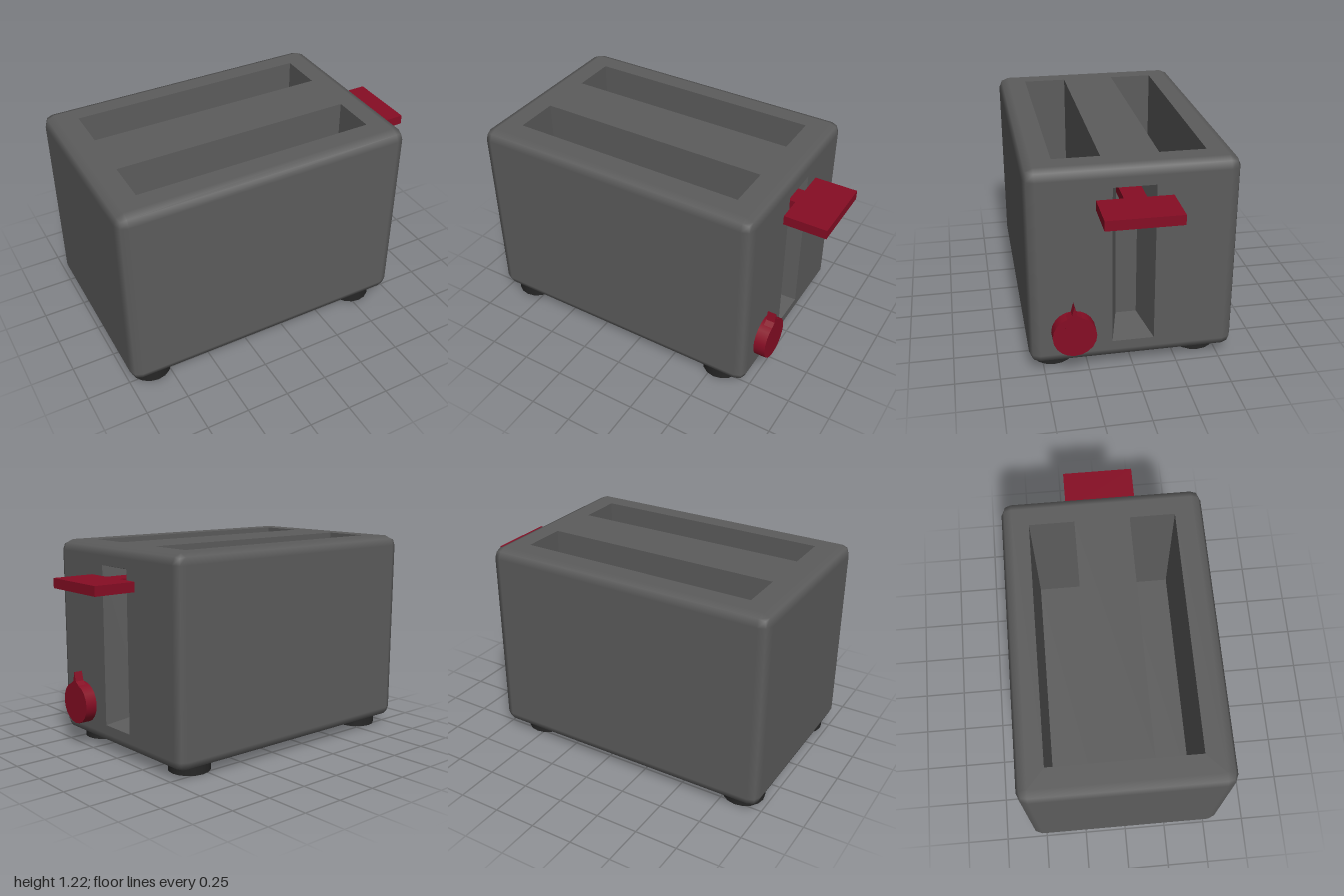
import * as THREE from 'three';
import { RoundedBoxGeometry } from 'three/addons/geometries/RoundedBoxGeometry.js';

const W = 1.74, H = 1.16, D = 1.16, R = 0.06; // housing size and edge radius
const CX = -0.13, CY = 0.635;                 // housing centre
const RIGHT = CX + W / 2, TOP = CY + H / 2;

const bodyMat = new THREE.MeshStandardMaterial({ color: 0x5c5c5c });
const redMat = new THREE.MeshStandardMaterial({ color: 0x860d24 });
const footMat = new THREE.MeshStandardMaterial({ color: 0x262626 });

function addMesh(parent, name, geometry, material, x = 0, y = 0, z = 0) {
  const mesh = new THREE.Mesh(geometry, material);
  mesh.name = name;
  mesh.position.set(x, y, z);
  parent.add(mesh);
  return mesh;
}

// Corners of a rectangle, anticlockwise
const rect = (x0, y0, x1, y1) => [[x0, y0], [x1, y0], [x1, y1], [x0, y1]];
const points = (corners) => corners.map(([x, y]) => new THREE.Vector2(x, y));

// Flat panel in XY with rectangular holes
function panel(outline, holes) {
  const shape = new THREE.Shape(points(outline));
  holes.forEach((h) => shape.holes.push(new THREE.Path(points(h).reverse())));
  return new THREE.ShapeGeometry(shape);
}

// Recess opening toward +z: four inward walls and a floor
function pocket(outer, inner, depth) {
  const pos = [];
  const o = outer.map(([x, y]) => [x, y, 0]);
  const f = inner.map(([x, y]) => [x, y, -depth]);
  const quad = (a, b, c, d) => pos.push(...a, ...b, ...c, ...a, ...c, ...d);
  for (let i = 0; i < 4; i++) {
    const j = (i + 1) % 4;
    quad(o[i], o[j], f[j], f[i]);
  }
  quad(...f);
  const g = new THREE.BufferGeometry();
  g.setAttribute('position', new THREE.Float32BufferAttribute(pos, 3));
  g.computeVertexNormals();
  return g;
}

// Rounded box without its flat top and right faces, which get cut panels
function openShell() {
  const box = new RoundedBoxGeometry(W, H, D, 1, R);
  const src = box.index ? box.toNonIndexed() : box;
  const p = src.attributes.position, n = src.attributes.normal;
  const pos = [], nor = [];
  for (let i = 0; i < p.count; i += 3) {
    const k = [i, i + 1, i + 2];
    if (k.every((v) => p.getY(v) > H / 2 - 1e-4)) continue;
    if (k.every((v) => p.getX(v) > W / 2 - 1e-4)) continue;
    for (const v of k) {
      pos.push(p.getX(v), p.getY(v), p.getZ(v));
      nor.push(n.getX(v), n.getY(v), n.getZ(v));
    }
  }
  const g = new THREE.BufferGeometry();
  g.setAttribute('position', new THREE.Float32BufferAttribute(pos, 3));
  g.setAttribute('normal', new THREE.Float32BufferAttribute(nor, 3));
  return g;
}

export function createModel() {
  const model = new THREE.Group();
  model.name = 'toaster';

  // Housing
  const housing = new THREE.Group();
  housing.name = 'housing';
  model.add(housing);
  addMesh(housing, 'shell', openShell(), bodyMat, CX, CY, 0);

  // Top panel with two bread slots (local y is -z)
  const top = new THREE.Group();
  top.name = 'top';
  top.rotation.x = -Math.PI / 2;
  top.position.y = TOP;
  housing.add(top);
  const slots = [rect(-0.83, -0.415, 0.575, -0.155), rect(-0.83, 0.162, 0.575, 0.422)];
  const edgeZ = D / 2 - R;
  addMesh(top, 'topPanel',
    panel(rect(CX - W / 2 + R, -edgeZ, RIGHT - R, edgeZ), slots), bodyMat);
  slots.forEach((s) => addMesh(top, 'breadSlot', pocket(s, s, 0.9), bodyMat));

  // Right panel with the tapered lever channel (local x is -z)
  const side = new THREE.Group();
  side.name = 'leverSide';
  side.rotation.y = Math.PI / 2;
  side.position.x = RIGHT;
  housing.add(side);
  const mouth = rect(-0.118, 0.168, 0.118, 1.1);
  addMesh(side, 'sidePanel',
    panel(rect(-edgeZ, CY - H / 2 + R, edgeZ, TOP - R), [mouth]), bodyMat);
  addMesh(side, 'leverChannel',
    pocket(mouth, rect(-0.06, 0.215, 0.06, 1.05), 0.22), bodyMat);

  // Lever: T-shaped plate with its stem in the channel
  const lever = new THREE.Shape(points([
    [0.53, -0.062], [0.75, -0.062], [0.75, -0.207], [1, -0.207],
    [1, 0.207], [0.75, 0.207], [0.75, 0.062], [0.53, 0.062],
  ]));
  const leverGeo = new THREE.ExtrudeGeometry(lever, { depth: 0.056, bevelEnabled: false });
  leverGeo.rotateX(-Math.PI / 2);
  addMesh(model, 'lever', leverGeo, redMat, 0, 0.985, 0);

  // Browning knob with pointer
  const knob = new THREE.Group();
  knob.name = 'knob';
  knob.position.set(RIGHT, 0.266, 0.337);
  model.add(knob);
  const dial = new THREE.CylinderGeometry(0.122, 0.122, 0.07, 20);
  dial.rotateZ(-Math.PI / 2);
  addMesh(knob, 'dial', dial, redMat, 0.035, 0, 0);
  const pointer = new THREE.Shape(points([
    [-0.05, 0.06], [0.05, 0.06], [0.05, 0.108], [0.014, 0.134],
    [0, 0.189], [-0.014, 0.134], [-0.05, 0.108],
  ]));
  const pointerGeo = new THREE.ExtrudeGeometry(pointer, { depth: 0.052, bevelEnabled: false });
  pointerGeo.rotateY(Math.PI / 2);
  addMesh(knob, 'pointer', pointerGeo, redMat, 0.019, 0, 0);

  // Feet
  for (const x of [-0.845, 0.54]) {
    for (const z of [-0.4, 0.437]) {
      addMesh(model, 'foot', new THREE.CylinderGeometry(0.12, 0.12, 0.07, 16),
        footMat, x, 0.035, z);
    }
  }
  return model;
}
